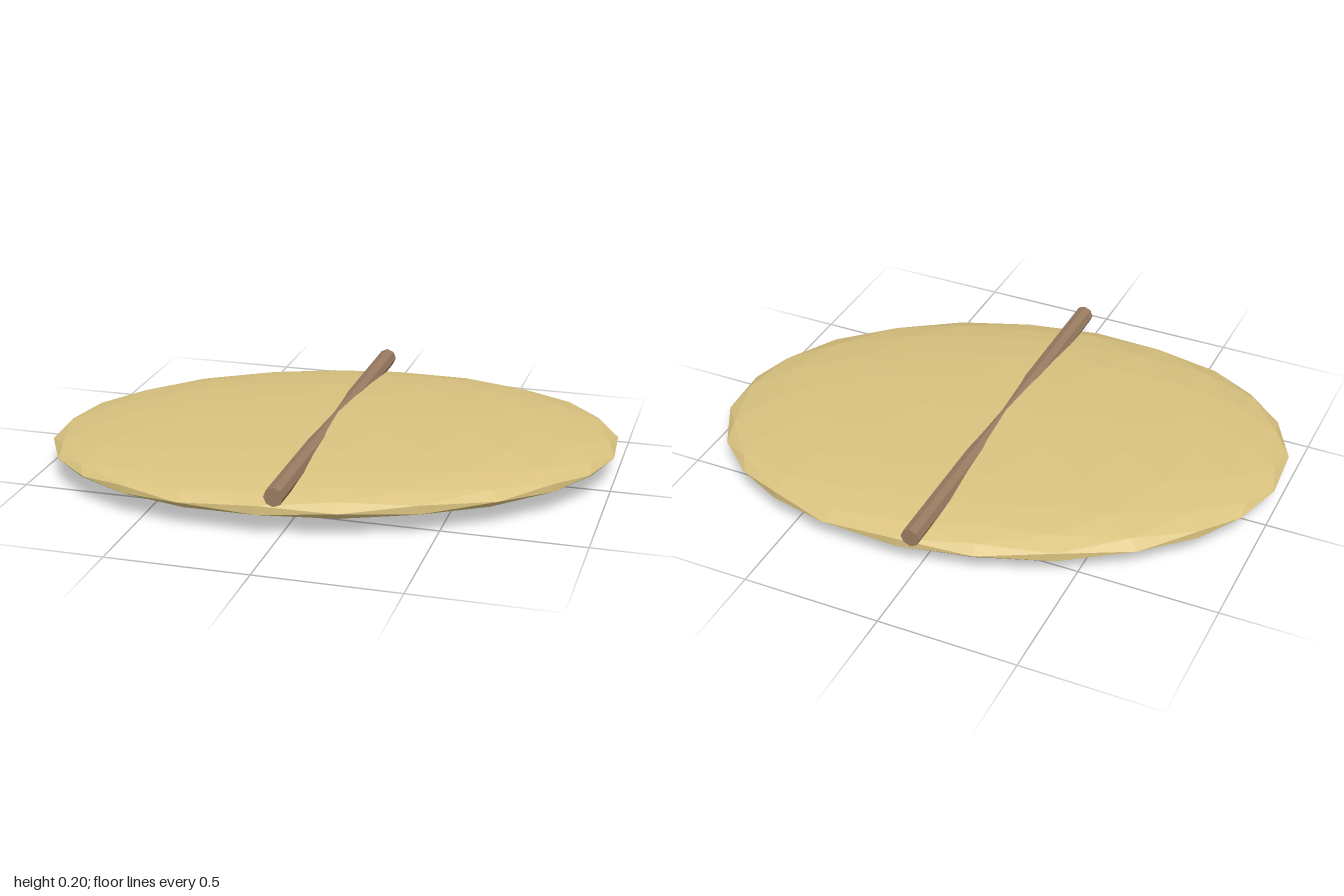
import * as THREE from 'three';

export function createModel() {
  const group = new THREE.Group();
  const mat = (color) => new THREE.MeshStandardMaterial({ color, flatShading: true });

  // Flattened faceted oval, turned slightly about the vertical axis
  const body = new THREE.IcosahedronGeometry(1, 3);
  body.scale(1.025, 0.099, 0.709);
  body.rotateY(THREE.MathUtils.degToRad(16));
  body.translate(0, 0.099, 0);
  const disc = new THREE.Mesh(body, mat(0xd9c27f));
  disc.name = 'ovalBody';
  group.add(disc);

  // Eight-sided rod half sunk into the top, running front to back
  const rod = new THREE.CylinderGeometry(0.034, 0.034, 1.51, 8);
  rod.rotateX(Math.PI / 2);
  rod.translate(0, 0.1665, 0);
  const stick = new THREE.Mesh(rod, mat(0x9a7b62));
  stick.name = 'rod';
  group.add(stick);

  return group;
}
